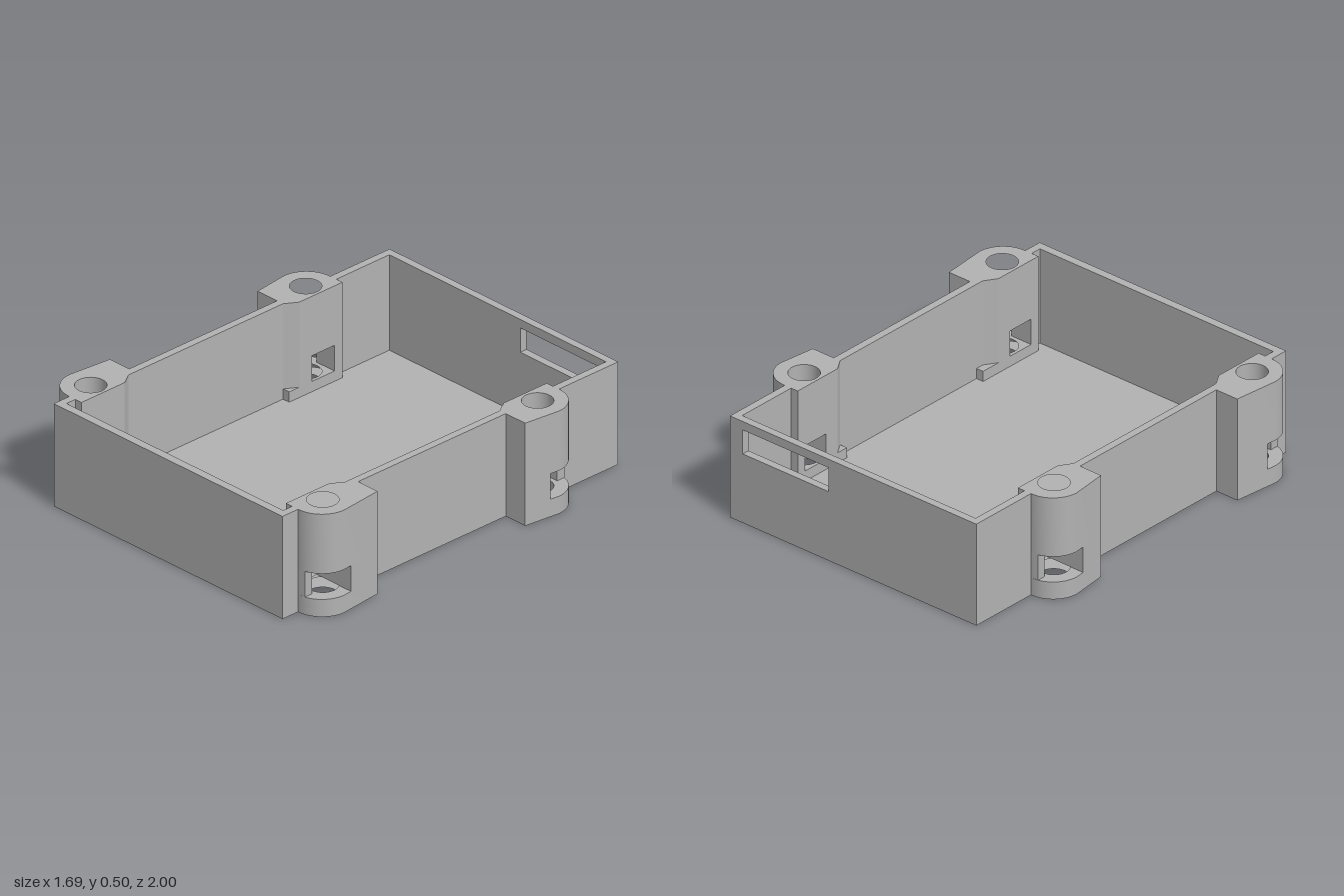
import * as THREE from 'three';
import { toCreasedNormals } from 'three/addons/utils/BufferGeometryUtils.js';

const W = 0.705, L = 1, H = 0.5, WALL = 0.037, FLOOR = 0.035;
const INNER = W - WALL;
const LEDGE = 0.085, SLOT_TOP = 0.21;         // nut slot heights in the lugs
const LUG_IN = 0.63, HOLE_X = 0.715, HOLE_R = 0.07, ARC_X = 0.71, ARC_R = 0.137;
const SLOT_A = -0.045, SLOT_B = 0.09;         // nut slot along the lug

// dir: end of the box the rounded side faces; v: start of the lug, measured from its hole
const LUGS = [
  { name: 'rear', z: -0.51, dir: -1, start: -0.18 },
  { name: 'front', z: 0.77, dir: 1, start: -0.22 },
];

export function createModel() {
  const model = new THREE.Group();
  model.name = 'screwLugEnclosure';
  const grey = new THREE.MeshStandardMaterial({ color: 0xb2b2b2 });
  grey.name = 'plain grey';

  const add = (name, geometry, parent = model) => {
    const mesh = new THREE.Mesh(geometry, grey);
    mesh.name = name;
    parent.add(mesh);
    return mesh;
  };

  // Extrude an [x, z] outline from y0 to y1, with round holes
  const slab = (points, y0, y1, holes = []) => {
    const shape = new THREE.Shape(points.map(([x, z]) => new THREE.Vector2(x, -z)));
    for (const [x, z] of holes) {
      const hole = new THREE.Path();
      hole.absarc(x, -z, HOLE_R, 0, Math.PI * 2, true);
      shape.holes.push(hole);
    }
    const geo = new THREE.ExtrudeGeometry(shape, { depth: y1 - y0, bevelEnabled: false, curveSegments: 20 });
    geo.rotateX(-Math.PI / 2).translate(0, y0, 0);
    return toCreasedNormals(geo, 0.5);
  };

  const box = (x0, x1, y0, y1, z0, z1) =>
    new THREE.BoxGeometry(x1 - x0, y1 - y0, z1 - z0)
      .translate((x0 + x1) / 2, (y0 + y1) / 2, (z0 + z1) / 2);

  // Outer edge of a lug in local [x, v], from its flat end to its rounded end
  const outerEdge = (lug) => {
    const pts = [[W, lug.start], [0.825, lug.start]];
    for (let i = 0; i <= 14; i++) {
      const a = (i / 14) * Math.PI / 2;
      pts.push([ARC_X + ARC_R * Math.cos(a), ARC_R * Math.sin(a)]);
    }
    pts.push([W, ARC_R]);
    return pts;
  };
  const place = (lug, side, pts) => pts.map(([x, v]) => [side * x, lug.z + lug.dir * v]);

  // Floor plate, including the lug feet
  const [rear, front] = LUGS;
  const rightSide = [
    [W, -L], ...place(rear, 1, outerEdge(rear)).reverse(),
    ...place(front, 1, outerEdge(front)), [W, L],
  ];
  const leftSide = rightSide.map(([x, z]) => [-x, z]).reverse();
  const holes = LUGS.flatMap((lug) => [[HOLE_X, lug.z], [-HOLE_X, lug.z]]);
  add('floor', slab([...rightSide, ...leftSide], 0, FLOOR, holes));

  // Front wall, and back wall with its port opening
  add('frontWall', box(-W, W, FLOOR, H, L - 0.04, L));
  const wall = new THREE.Shape([[-W, FLOOR], [W, FLOOR], [W, H], [-W, H]].map((p) => new THREE.Vector2(...p)));
  wall.holes.push(new THREE.Path([[0.14, 0.34], [0.14, 0.458], [0.632, 0.458], [0.632, 0.34]]
    .map((p) => new THREE.Vector2(...p))));
  add('backWall', new THREE.ExtrudeGeometry(wall, { depth: WALL, bevelEnabled: false }).translate(0, 0, -L));

  for (const side of [1, -1]) {
    const sideName = side > 0 ? 'left' : 'right';

    // Side wall pieces between the lugs
    const spans = [
      [-L + WALL, rear.z - ARC_R],
      [rear.z - rear.start, front.z + front.start],
      [front.z + ARC_R, L - 0.04],
    ];
    for (const [z0, z1] of spans) {
      add(sideName + 'Wall', side > 0
        ? box(INNER, W, FLOOR, H, z0, z1)
        : box(-W, -INNER, FLOOR, H, z0, z1));
    }

    for (const lug of LUGS) {
      const group = new THREE.Group();
      group.name = `${lug.name}${sideName === 'left' ? 'Left' : 'Right'}Lug`;
      model.add(group);
      const hole = [[side * HOLE_X, lug.z]];
      const edge = outerEdge(lug).slice(1);
      const chamfer = [[LUG_IN, -0.12], [INNER, -0.18]];
      if (lug.start < -0.18) chamfer.push([INNER, lug.start]);
      const make = (name, pts, y0, y1, h) => add(name, slab(place(lug, side, pts), y0, y1, h), group);

      // Foot with a square inner ledge
      make('lugFoot', [...edge, [LUG_IN, ARC_R], [LUG_IN, lug.start]], FLOOR, LEDGE, hole);
      // Solid parts on either side of the nut slot
      const edgeX = ARC_X + ARC_R - (ARC_X + ARC_R - 0.825) * (SLOT_A / lug.start);
      make('slotBack', [[0.825, lug.start], [edgeX, SLOT_A], [LUG_IN, SLOT_A], ...chamfer], LEDGE, SLOT_TOP);
      make('slotPost', [[LUG_IN, SLOT_B], [0.742, SLOT_B], [0.742, 0.133], [ARC_X, ARC_R], [LUG_IN, ARC_R]],
        LEDGE, SLOT_TOP);
      // Tall screw post
      make('screwPost', [...edge, [LUG_IN, ARC_R], ...chamfer], SLOT_TOP, H, hole);
    }
  }
  return model;
}
